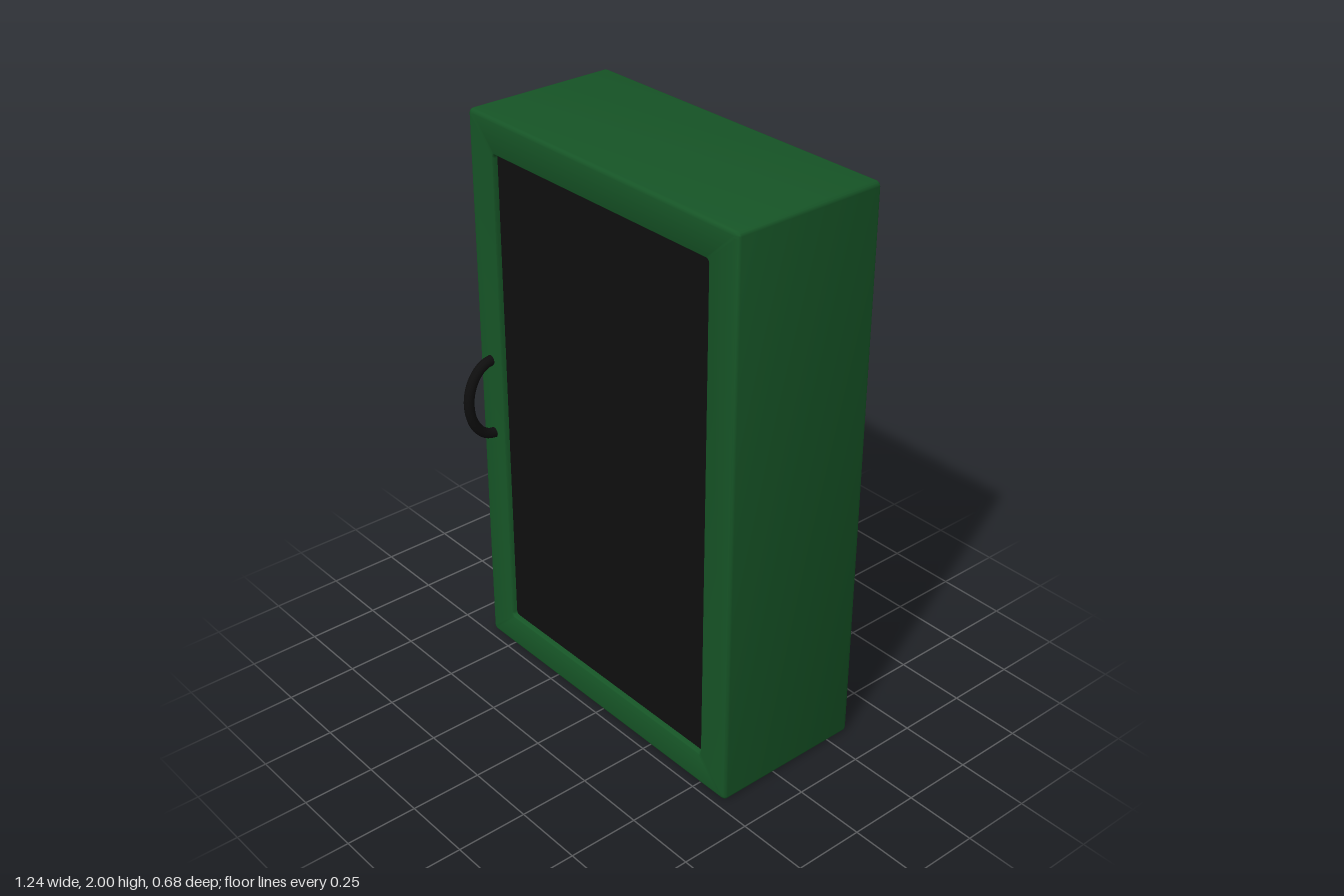
import * as THREE from 'three';
import { toCreasedNormals } from 'three/addons/utils/BufferGeometryUtils.js';
import { RoundedBoxGeometry } from 'three/addons/geometries/RoundedBoxGeometry.js';

const W = 1.244, H = 2, BACK = -0.338, FRONT = 0.222;
const FRAME = 0.12, RECESS = 0.02, R = 0.014, STEPS = 4;

// Rounded rectangle, anticlockwise seen from the front
function ring(inset, z, radius) {
  const w = W / 2 - inset - radius, h = H / 2 - inset - radius;
  const points = [];
  [[1, 1], [-1, 1], [-1, -1], [1, -1]].forEach(([sx, sy], corner) => {
    for (let i = 0; i <= STEPS; i++) {
      const a = (corner + i / STEPS) * Math.PI / 2;
      points.push([sx * w + radius * Math.cos(a), H / 2 + sy * h + radius * Math.sin(a), z]);
    }
  });
  return points;
}

// Skin through successive rings, beginning with a cap over the first one
function loft(rings) {
  const n = rings[0].length, positions = [];
  const centre = [0, H / 2, rings[0][0][2]];
  for (let i = 0; i < n; i++) {
    const j = (i + 1) % n;
    positions.push(...centre, ...rings[0][j], ...rings[0][i]);
    for (let k = 0; k + 1 < rings.length; k++) {
      const a = rings[k], b = rings[k + 1];
      positions.push(...a[i], ...a[j], ...b[j], ...a[i], ...b[j], ...b[i]);
    }
  }
  const geometry = new THREE.BufferGeometry();
  geometry.setAttribute('position', new THREE.Float32BufferAttribute(positions, 3));
  return toCreasedNormals(geometry, 0.6);
}

export function createModel() {
  const model = new THREE.Group();
  model.name = 'cabinet';
  const green = new THREE.MeshStandardMaterial({ color: 0x165426 });
  const black = new THREE.MeshStandardMaterial({ color: 0x0e0e0e });
  const add = (name, geometry, material) => {
    const mesh = new THREE.Mesh(geometry, material);
    mesh.name = name;
    model.add(mesh);
    return mesh;
  };

  // Cabinet body: rounded back edge, rounded front edge, then the softened lip of the recess
  const rings = [];
  const arc = (t) => [R * (1 - Math.sin(t)), R * (1 - Math.cos(t))];
  for (let i = 0; i <= STEPS; i++) {
    const [inset, dz] = arc(i / STEPS * Math.PI / 2);
    rings.push(ring(inset, BACK + dz, R));
  }
  for (let i = STEPS; i >= 0; i--) {
    const [inset, dz] = arc(i / STEPS * Math.PI / 2);
    rings.push(ring(inset, FRONT - dz, R));
  }
  const lip = 0.008;
  for (let i = 0; i <= STEPS; i++) {
    const t = i / STEPS * Math.PI / 2;
    rings.push(ring(FRAME - lip * (1 - Math.sin(t)), FRONT - lip * (1 - Math.cos(t)), R));
  }
  rings.push(ring(FRAME, FRONT - RECESS - 0.02, R));
  add('cabinetBody', loft(rings), green);

  // Dark door pane set into the frame
  const pane = add('doorPane', new THREE.BoxGeometry(W - 2 * FRAME, H - 2 * FRAME, 0.02), black);
  pane.position.set(0, H / 2, FRONT - RECESS - 0.01);

  // Bowed door handle
  const path = new THREE.CatmullRomCurve3(Array.from({ length: 13 }, (_, i) => {
    const a = (i / 12 - 0.5) * Math.PI;
    return new THREE.Vector3(-0.56, 0.993 + 0.139 * Math.sin(a), FRONT - 0.004 + 0.102 * Math.cos(a));
  }));
  add('doorHandle', new THREE.TubeGeometry(path, 40, 0.018, 14), black);

  // Rounded feet closing the handle ends against the frame
  for (const side of [-1, 1]) {
    const foot = add('handleFoot', new RoundedBoxGeometry(0.036, 0.036, 0.036, 4, 0.017), black);
    foot.position.set(-0.56, 0.993 + side * 0.139, FRONT - 0.004);
  }
  return model;
}
